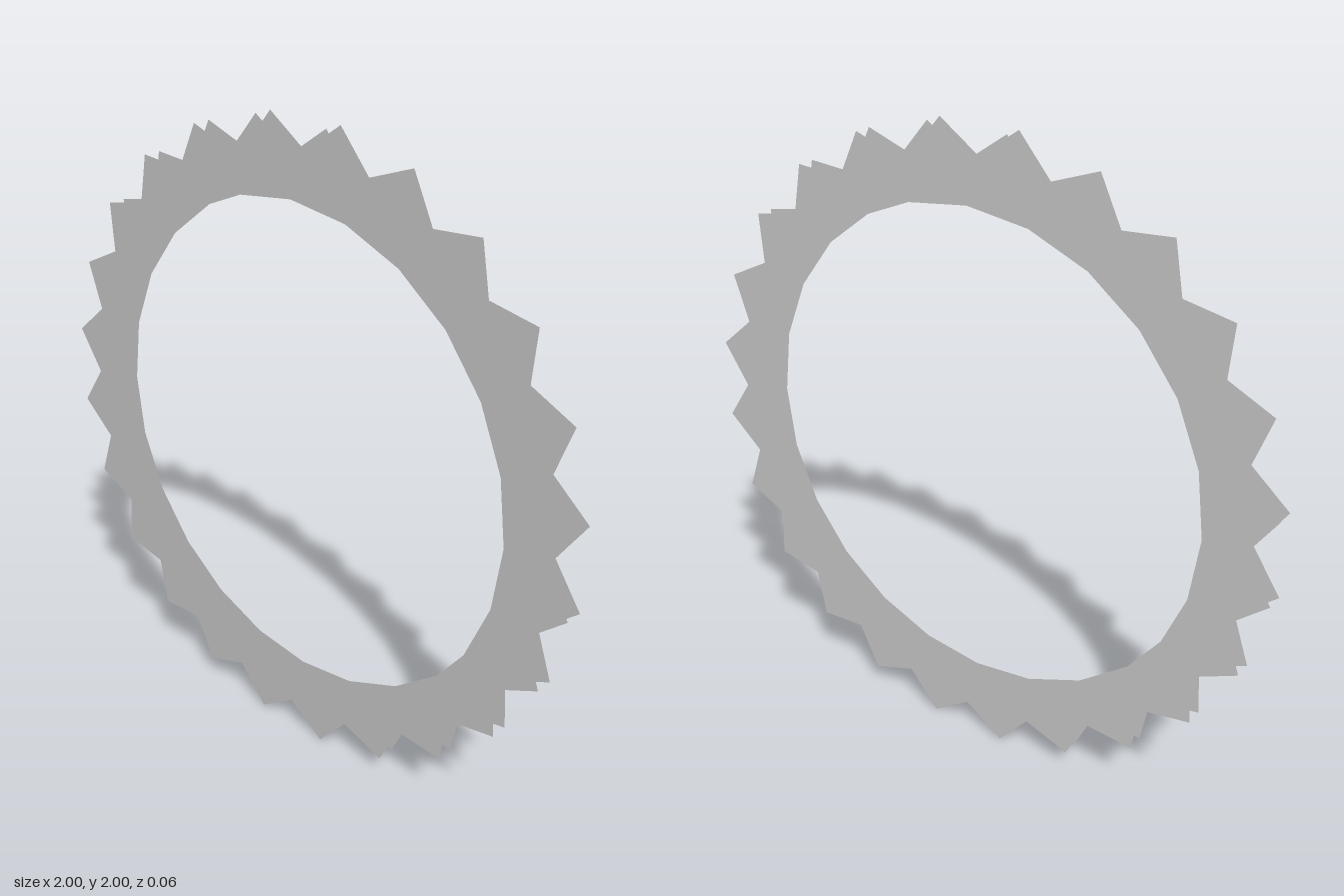
import * as THREE from 'three';

const TEETH = 24;
const TIP_RADIUS = 1 / Math.cos(Math.PI / TEETH); // outermost tips reach x = +-1
const VALLEY_RADIUS = 0.91;
const HOLE_RADIUS = 0.785;
const GAP = 0.056; // distance between the two sheets

// Closed polygon with the radius chosen per corner, first corner at the top
function polygon(count, radiusAt) {
  return Array.from({ length: count }, (_, i) => {
    const a = (i / count) * Math.PI * 2;
    const r = radiusAt(i);
    return new THREE.Vector2(Math.sin(a) * r, Math.cos(a) * r);
  });
}

export function createModel() {
  const group = new THREE.Group();
  group.name = 'toothedRing';

  // Ring outline: alternating valleys and tips, with a 24-sided hole
  const shape = new THREE.Shape(polygon(TEETH * 2, (i) => (i % 2 ? TIP_RADIUS : VALLEY_RADIUS)));
  shape.holes.push(new THREE.Path(polygon(TEETH, () => HOLE_RADIUS)));
  const geometry = new THREE.ShapeGeometry(shape);
  const material = new THREE.MeshStandardMaterial({
    color: 0xcccccc, flatShading: true, side: THREE.DoubleSide,
  });

  // Two parallel open sheets, without rim walls
  for (const side of [1, -1]) {
    const sheet = new THREE.Mesh(geometry, material);
    sheet.name = side > 0 ? 'frontSheet' : 'backSheet';
    sheet.position.set(0, 1, (side * GAP) / 2);
    if (side < 0) sheet.rotation.y = Math.PI;
    group.add(sheet);
  }
  return group;
}
